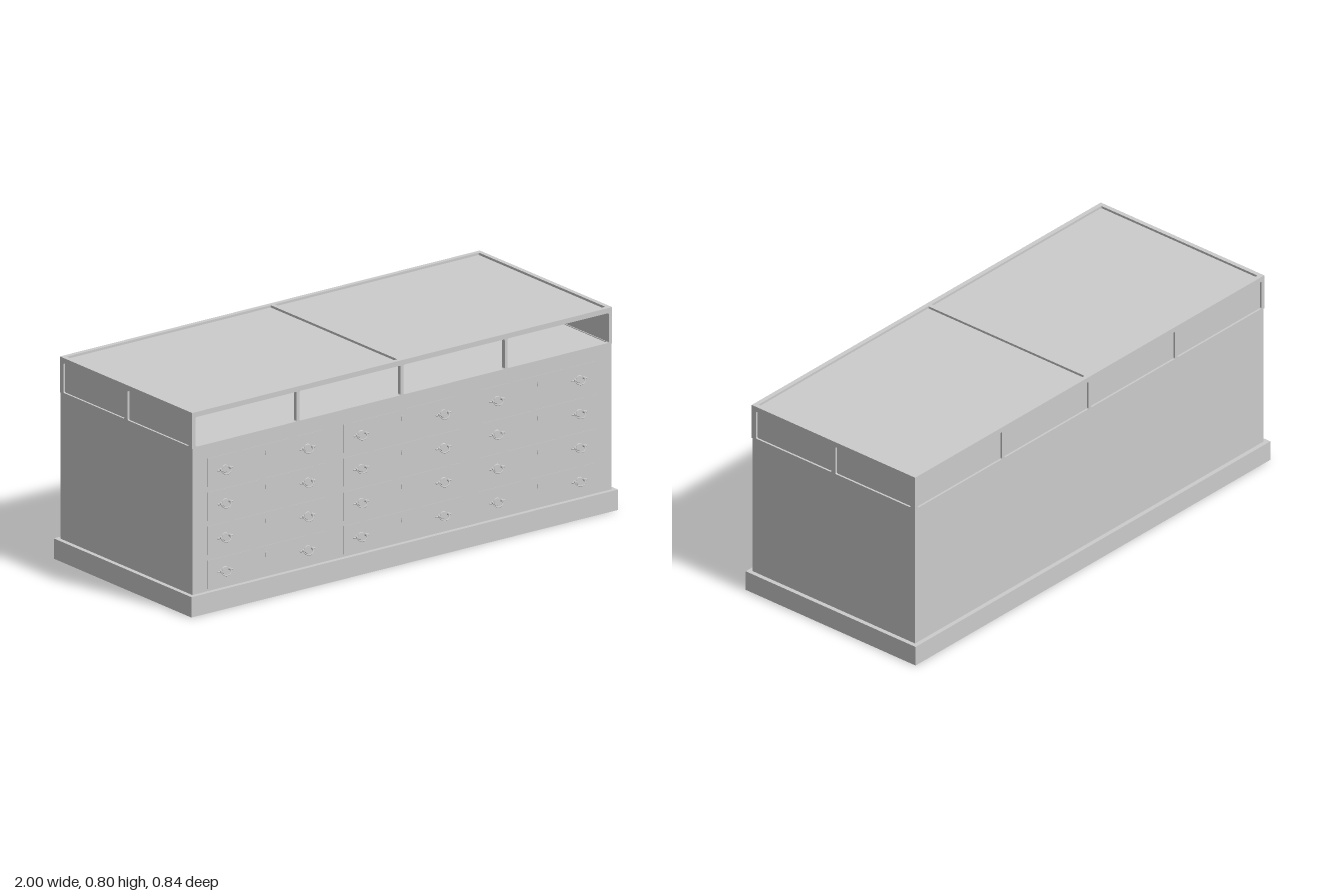
import * as THREE from 'three';

const material = new THREE.MeshStandardMaterial({ color: 0xcccccc });

function add(parent, name, geometry, x = 0, y = 0, z = 0) {
  const mesh = new THREE.Mesh(geometry, material);
  mesh.name = name;
  mesh.position.set(x, y, z);
  parent.add(mesh);
  return mesh;
}

const box = (w, h, d) => new THREE.BoxGeometry(w, h, d);

// Rectangle with slightly rounded corners, used for window openings
function roundedHole(x0, y0, x1, y1, r = 0.005) {
  const p = new THREE.Path();
  p.absarc(x1 - r, y1 - r, r, 0, Math.PI / 2);
  p.absarc(x0 + r, y1 - r, r, Math.PI / 2, Math.PI);
  p.absarc(x0 + r, y0 + r, r, Math.PI, Math.PI * 1.5);
  p.absarc(x1 - r, y0 + r, r, Math.PI * 1.5, Math.PI * 2);
  p.closePath();
  return p;
}

// Flat frame panel with a row of equal openings, extruded along +z
function framePanel(halfW, y0, y1, holeY0, holeY1, count, border, bar, depth) {
  const s = new THREE.Shape();
  s.moveTo(-halfW, y0).lineTo(halfW, y0).lineTo(halfW, y1).lineTo(-halfW, y1).closePath();
  const inner = 2 * (halfW - border);
  const w = (inner - bar * (count - 1)) / count;
  for (let i = 0; i < count; i++) {
    const x = -halfW + border + i * (w + bar);
    s.holes.push(roundedHole(x, holeY0, x + w, holeY1));
  }
  return new THREE.ExtrudeGeometry(s, { depth, bevelEnabled: false, curveSegments: 4 });
}

// Drop handle: two small posts, a central boss and a hanging bail
function dropHandle() {
  const g = new THREE.Group();
  g.name = 'drawerHandle';
  const postGeo = new THREE.CylinderGeometry(0.004, 0.006, 0.01, 10).rotateX(Math.PI / 2);
  for (const s of [-1, 1]) {
    add(g, 'handlePost', postGeo, s * 0.022, 0.006, 0.004);
    add(g, 'handleWing', new THREE.SphereGeometry(0.006, 10, 6).scale(1.4, 0.7, 0.5), s * 0.029, 0.004, 0.002);
  }
  add(g, 'handlePlate', new THREE.CylinderGeometry(0.014, 0.016, 0.003, 16).rotateX(Math.PI / 2), 0, 0.005, 0.001);
  const bail = new THREE.CatmullRomCurve3([
    [-0.022, 0.006, 0.007], [-0.02, -0.003, 0.01], [-0.011, -0.01, 0.014],
    [0, -0.012, 0.015], [0.011, -0.01, 0.014], [0.02, -0.003, 0.01], [0.022, 0.006, 0.007],
  ].map((p) => new THREE.Vector3(...p)));
  add(g, 'handleBail', new THREE.TubeGeometry(bail, 20, 0.0025, 6));
  return g;
}

export function createModel() {
  const model = new THREE.Group();
  model.name = 'displayCounter';
  const front = 0.402;

  // Plinth and cabinet body; the body top is the display deck
  add(model, 'plinth', box(2, 0.08, 0.84), 0, 0.04, 0);
  add(model, 'cabinetBody', box(1.964, 0.577, 2 * front), 0, 0.3685, 0);

  // Drawers in three columns and four rows
  for (const x of [-0.637, 0, 0.637]) {
    for (const y of [0.145, 0.278, 0.412, 0.545]) {
      const drawer = new THREE.Group();
      drawer.name = 'drawer';
      drawer.position.set(x, y, front);
      add(drawer, 'drawerFront', box(0.546, 0.112, 0.002));
      for (const s of [-1, 1]) {
        const handle = dropHandle();
        handle.position.set(s * 0.193, -0.004, 0.001);
        drawer.add(handle);
      }
      // Keyhole cover
      add(drawer, 'keyholeCover', new THREE.CylinderGeometry(0.005, 0.005, 0.003, 12).rotateX(Math.PI / 2), 0, 0.028, 0.002);
      add(drawer, 'keyholeSkirt', box(0.005, 0.014, 0.003), 0, 0.02, 0.002);
      model.add(drawer);
    }
  }

  // Glazed display case: long frames, end frames and top frame
  const t = 0.016;
  const longFrame = framePanel(0.984, 0.655, 0.797, 0.66, 0.777, 4, 0.016, 0.014, t);
  add(model, 'frontFrame', longFrame, 0, 0, 0.404 - t);
  add(model, 'backFrame', longFrame, 0, 0, -0.404);
  const endFrame = framePanel(0.403, 0.655, 0.797, 0.66, 0.777, 2, 0.021, 0.02, t);
  for (const s of [-1, 1]) {
    const frame = add(model, 'endFrame', endFrame, s > 0 ? 0.984 - t : -0.984 + t, 0, 0);
    frame.rotation.y = s * Math.PI / 2;
    add(model, 'endPane', box(0.004, 0.135, 0.78), s * 0.974, 0.722, 0);
  }
  const topFrame = framePanel(0.984, -0.404, 0.404, -0.386, 0.386, 2, 0.018, 0.018, 0.02).rotateX(-Math.PI / 2);
  add(model, 'topFrame', topFrame, 0, 0.777, 0);

  // Panes at the back and top; the front is left open
  add(model, 'backPane', box(1.95, 0.135, 0.004), 0, 0.722, -0.394);
  add(model, 'topPane', box(1.95, 0.004, 0.79), 0, 0.786, 0);

  return model;
}
